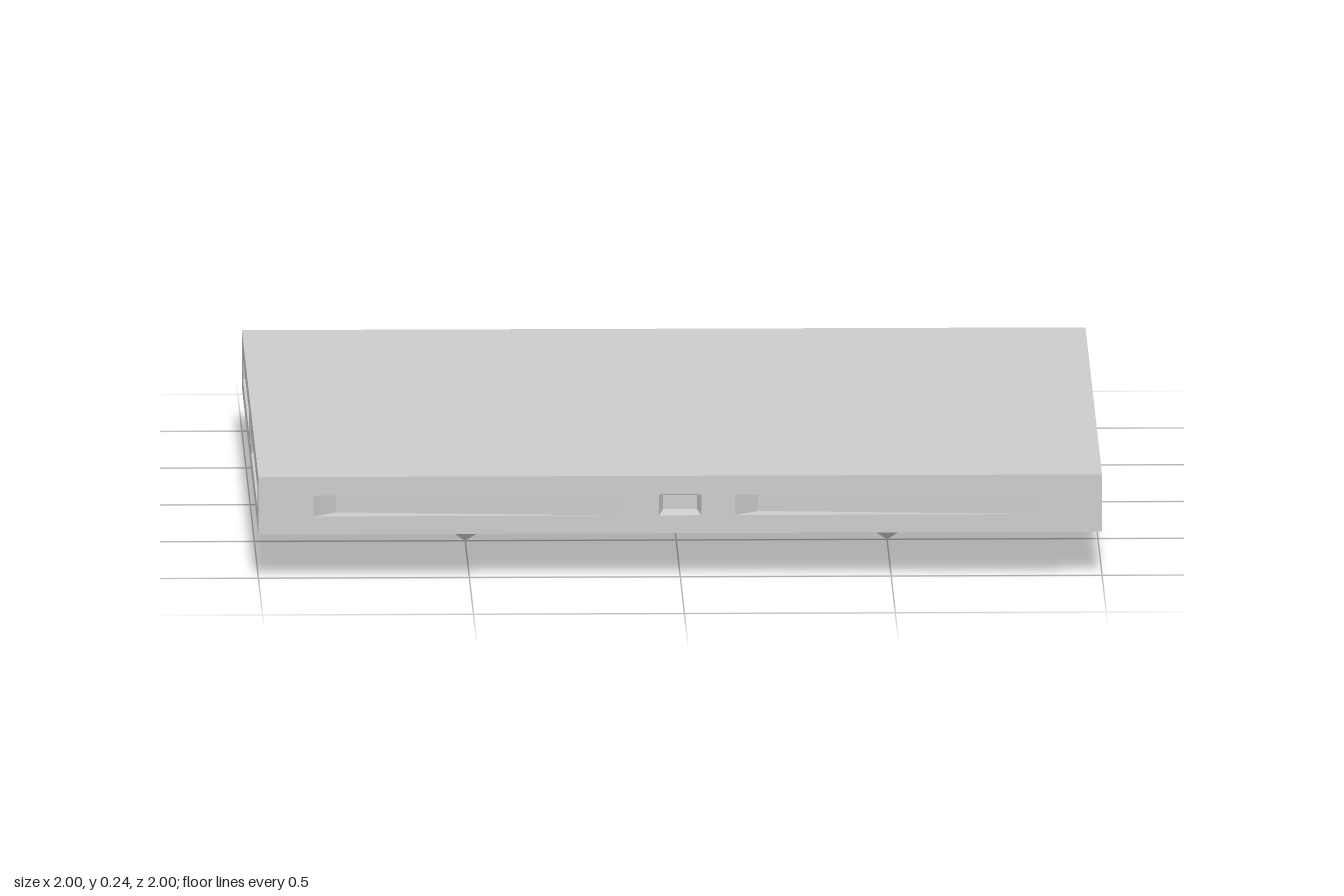
import * as THREE from 'three';

const BOTTOM = 0.105, TOP = 0.243;
const SLOT_LOW = 0.148, SLOT_HIGH = 0.198;
const grey = new THREE.MeshStandardMaterial({ color: 0xcccccc, flatShading: true, side: THREE.DoubleSide });

function addMesh(parent, geometry, name) {
  const mesh = new THREE.Mesh(geometry, grey);
  mesh.name = name;
  parent.add(mesh);
  return mesh;
}

// Flat-sided geometry from convex polygons, corners counter-clockwise
function facets(polygons) {
  const pos = [];
  for (const p of polygons)
    for (let i = 1; i < p.length - 1; i++) pos.push(...p[0], ...p[i], ...p[i + 1]);
  const g = new THREE.BufferGeometry();
  g.setAttribute('position', new THREE.Float32BufferAttribute(pos, 3));
  g.computeVertexNormals();
  return g;
}

function rectangle(PathType, x0, x1, y0, y1) {
  return new PathType([[x0, y0], [x1, y0], [x1, y1], [x0, y1]].map(p => new THREE.Vector2(...p)));
}

// Wedge recess: a steep wall at the left end, then a long ramp back to the surface
function slotGeometry(x0, x1) {
  const deep = x0 + 0.055, z = -0.055, a = SLOT_LOW, b = SLOT_HIGH;
  return facets([
    [[x0, a, 0], [deep, a, z], [deep, b, z], [x0, b, 0]],
    [[deep, a, z], [x1, a, 0], [x1, b, 0], [deep, b, z]],
    [[x0, a, 0], [x1, a, 0], [deep, a, z]],
    [[x0, b, 0], [deep, b, z], [x1, b, 0]],
  ]);
}

// Small socket: tapered walls around a flat inner face
function socketGeometry() {
  const ring = (w, h, z) => [[-w, -h], [w, -h], [w, h], [-w, h]].map(([x, y]) => [x, 0.173 + y, z]);
  const outer = ring(0.05, 0.025, 0), inner = ring(0.04, 0.017, -0.04);
  const walls = outer.map((p, i) => {
    const j = (i + 1) % 4;
    return [p, outer[j], inner[j], inner[i]];
  });
  return facets([...walls, inner]);
}

// One edge face with two wedge slots and a middle socket, facing +z
function createSide() {
  const side = new THREE.Group();
  const face = rectangle(THREE.Shape, -1, 1, BOTTOM, TOP);
  const slots = [[-0.87, -0.143], [0.13, 0.857]];
  for (const [x0, x1] of slots) {
    face.holes.push(rectangle(THREE.Path, x0, x1, SLOT_LOW, SLOT_HIGH));
    addMesh(side, slotGeometry(x0, x1), 'wedgeSlot').position.z = 1;
  }
  face.holes.push(rectangle(THREE.Path, -0.05, 0.05, 0.148, 0.198));
  addMesh(side, socketGeometry(), 'socket').position.z = 1;
  addMesh(side, new THREE.ShapeGeometry(face), 'sideFace').position.z = 1;
  return side;
}

export function createModel() {
  const model = new THREE.Group();
  model.name = 'floorTile';

  // Top and bottom of the slab
  const top = addMesh(model, new THREE.PlaneGeometry(2, 2), 'topFace');
  top.rotation.x = -Math.PI / 2;
  top.position.y = TOP;
  const bottom = addMesh(model, new THREE.PlaneGeometry(2, 2), 'bottomFace');
  bottom.rotation.x = Math.PI / 2;
  bottom.position.y = BOTTOM;

  // Four identical sides
  ['frontSide', 'leftSide', 'backSide', 'rightSide'].forEach((name, i) => {
    const side = createSide();
    side.name = name;
    side.rotation.y = i * Math.PI / 2;
    model.add(side);
  });

  // Inverted pyramid feet
  for (const x of [-0.5, 0.5]) {
    for (const z of [-0.5, 0.5]) {
      const cone = new THREE.ConeGeometry(0.13 * Math.SQRT2, BOTTOM, 4, 1, true);
      cone.rotateY(Math.PI / 4).rotateX(Math.PI);
      addMesh(model, cone, 'pyramidFoot').position.set(x, BOTTOM / 2, z);
    }
  }
  return model;
}
